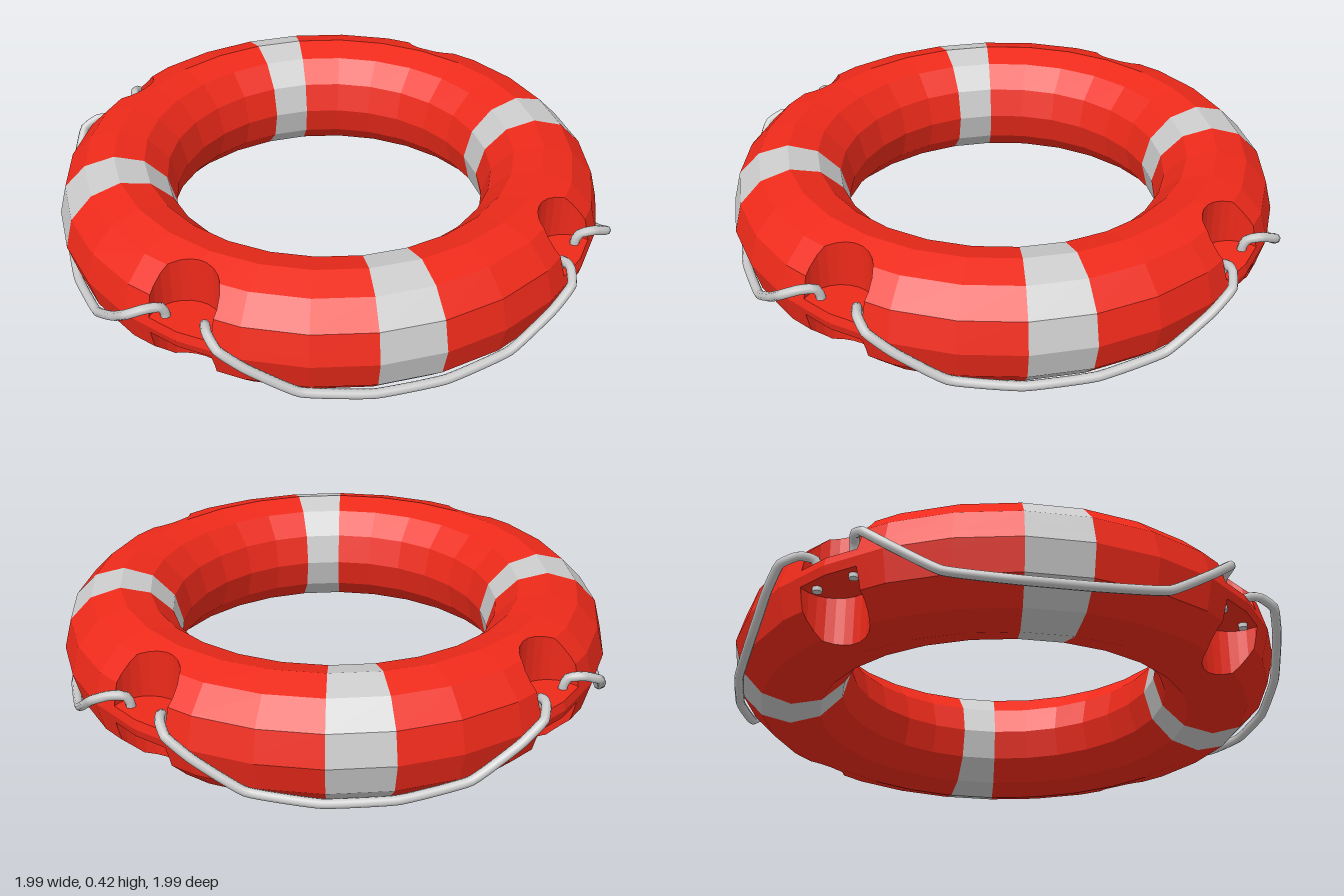
import * as THREE from 'three';

const SEGMENTS = 28, RING = 0.755, TUBE_R = 0.205, MID = 0.21;
const SHELF = 0.03;                                   // half thickness of the shelf in each notch
const NOTCH = { r: 0.913, radius: 0.118, sides: 24 };

const red = new THREE.MeshStandardMaterial({ color: 0xee2a1a, flatShading: true });
const grey = new THREE.MeshStandardMaterial({ color: 0xcccccc, flatShading: true });
const ropeGrey = new THREE.MeshStandardMaterial({ color: 0xcccccc });

// Ring cross-section as [radius, y]: twelve sides, plus the two shelf levels on the outside
function ringProfile() {
  const points = [];
  for (let k = 0; k < 12; k++) {
    const a = k * Math.PI / 6;
    points.push([RING + TUBE_R * Math.cos(a), MID + MID * Math.sin(a)]);
  }
  const t = SHELF / (points[1][1] - MID);
  const r = THREE.MathUtils.lerp(points[0][0], points[1][0], t);
  points.splice(1, 0, [r, MID + SHELF]);
  points.push([r, MID - SHELF]);
  return points;
}

// Adds a convex polygon as a triangle fan facing the direction ref
function addPolygon(out, poly, ref) {
  const n = new THREE.Vector3();
  for (let i = 1; i < poly.length - 1; i++) {
    const ab = poly[i].clone().sub(poly[0]);
    n.add(ab.cross(poly[i + 1].clone().sub(poly[0])));
  }
  const p = n.dot(ref) < 0 ? [...poly].reverse() : poly;
  for (let i = 1; i < p.length - 1; i++) {
    for (const v of [p[0], p[i], p[i + 1]]) out.push(v.x, v.y, v.z);
  }
}

// Keeps the part of a polygon on one side of an upright plane (sign 1 = outside)
function clip(poly, plane, sign) {
  const out = [];
  poly.forEach((a, i) => {
    const b = poly[(i + 1) % poly.length];
    const da = sign * plane.distanceToPoint(a), db = sign * plane.distanceToPoint(b);
    if (da >= 0) out.push(a);
    if ((da > 0 && db < 0) || (da < 0 && db > 0)) out.push(a.clone().lerp(b, da / (da - db)));
  });
  return out;
}

// Upright planes around the round notch at the given quarter
function notchPlanes(quarter) {
  const a = quarter * Math.PI / 2;
  const centre = new THREE.Vector3(Math.sin(a), 0, Math.cos(a)).multiplyScalar(NOTCH.r);
  const inset = NOTCH.radius * Math.cos(Math.PI / NOTCH.sides);
  return Array.from({ length: NOTCH.sides }, (_, i) => {
    const t = a + i * 2 * Math.PI / NOTCH.sides;
    const n = new THREE.Vector3(Math.sin(t), 0, Math.cos(t));
    return new THREE.Plane(n, -n.dot(centre) - inset);
  });
}

// Cuts the notch out of one facet and adds the notch wall and shelf beneath it
function addNotchedFacet(out, facet, ref, planes, level) {
  let inside = facet;
  for (const plane of planes) {
    const piece = clip(inside, plane, 1);
    if (piece.length > 2) addPolygon(out, piece, ref);
    inside = clip(inside, plane, -1);
    if (inside.length < 3) return;
  }
  const drop = (v) => new THREE.Vector3(v.x, level, v.z);
  addPolygon(out, inside.map(drop), new THREE.Vector3(0, level - MID, 0));
  inside.forEach((p, i) => {
    const q = inside[(i + 1) % inside.length];
    const plane = planes.find((e) =>
      Math.abs(e.distanceToPoint(p)) < 1e-6 && Math.abs(e.distanceToPoint(q)) < 1e-6);
    if (plane) addPolygon(out, [p, q, drop(q), drop(p)], plane.normal.clone().negate());
  });
}

function meshFrom(positions, material, name) {
  const geometry = new THREE.BufferGeometry();
  geometry.setAttribute('position', new THREE.Float32BufferAttribute(positions, 3));
  geometry.computeVertexNormals();
  const mesh = new THREE.Mesh(geometry, material);
  mesh.name = name;
  return mesh;
}

// Ring body with four notches, and the four reflective bands
function buildRing(group) {
  const profile = ringProfile();
  const body = [], bands = [[], [], [], []];
  const point = (i, [r, y]) => {
    const a = i * 2 * Math.PI / SEGMENTS;
    return new THREE.Vector3(r * Math.sin(a), y, r * Math.cos(a));
  };
  for (let i = 0; i < SEGMENTS; i++) {
    const isBand = i % 7 === 3;
    const nearNotch = i % 7 === 0 || i % 7 === 6;
    const planes = notchPlanes(Math.round((i + 0.5) / 7) % 4);
    profile.forEach((a, k) => {
      const b = profile[(k + 1) % profile.length];
      const facet = [point(i, a), point(i + 1, a), point(i + 1, b), point(i, b)];
      const ref = point(i + 0.5, [(a[0] + b[0]) / 2, (a[1] + b[1]) / 2])
        .sub(point(i + 0.5, [RING, MID]));
      const height = (a[1] + b[1]) / 2 - MID;
      const outer = (a[0] + b[0]) / 2 > RING;
      if (nearNotch && outer && Math.abs(height) > SHELF) {
        addNotchedFacet(body, facet, ref, planes, MID + Math.sign(height) * SHELF);
      } else {
        addPolygon(isBand ? bands[(i - 3) / 7] : body, facet, ref);
      }
    });
  }
  group.add(meshFrom(body, red, 'ringBody'));
  bands.forEach((band, i) => group.add(meshFrom(band, grey, `reflectiveBand${i + 1}`)));
}

// Grab rope: one quarter, mirrored about its middle and repeated round the ring
function buildRopes(group) {
  const half = [
    [0.075, 0.165, 0.905], [0.075, 0.25, 0.905], [0.083, 0.28, 0.918], [0.115, 0.285, 0.955],
    [0.17, 0.26, 0.982], [0.25, 0.2, 0.952], [0.39, 0.105, 0.872], [0.575, 0.075, 0.74],
  ].map((p) => new THREE.Vector3(...p));
  const other = half.map((p) => new THREE.Vector3(p.z, p.y, p.x)).reverse();
  const path = new THREE.CatmullRomCurve3([...half, ...other], false, 'catmullrom', 0.2);
  const rope = new THREE.TubeGeometry(path, 90, 0.016, 8);
  const cap = new THREE.CircleGeometry(0.016, 8).rotateX(Math.PI / 2);
  for (let i = 0; i < 4; i++) {
    const quarter = new THREE.Group();
    quarter.name = `grabRope${i + 1}`;
    const strand = new THREE.Mesh(rope, ropeGrey);
    strand.name = 'ropeStrand';
    quarter.add(strand);
    for (const end of [half[0], other[other.length - 1]]) {
      const tip = new THREE.Mesh(cap, ropeGrey);
      tip.name = 'ropeEnd';
      tip.position.copy(end);
      quarter.add(tip);
    }
    quarter.rotation.y = i * Math.PI / 2;
    group.add(quarter);
  }
}

export function createModel() {
  const group = new THREE.Group();
  group.name = 'lifebuoy';
  buildRing(group);
  buildRopes(group);
  return group;
}
